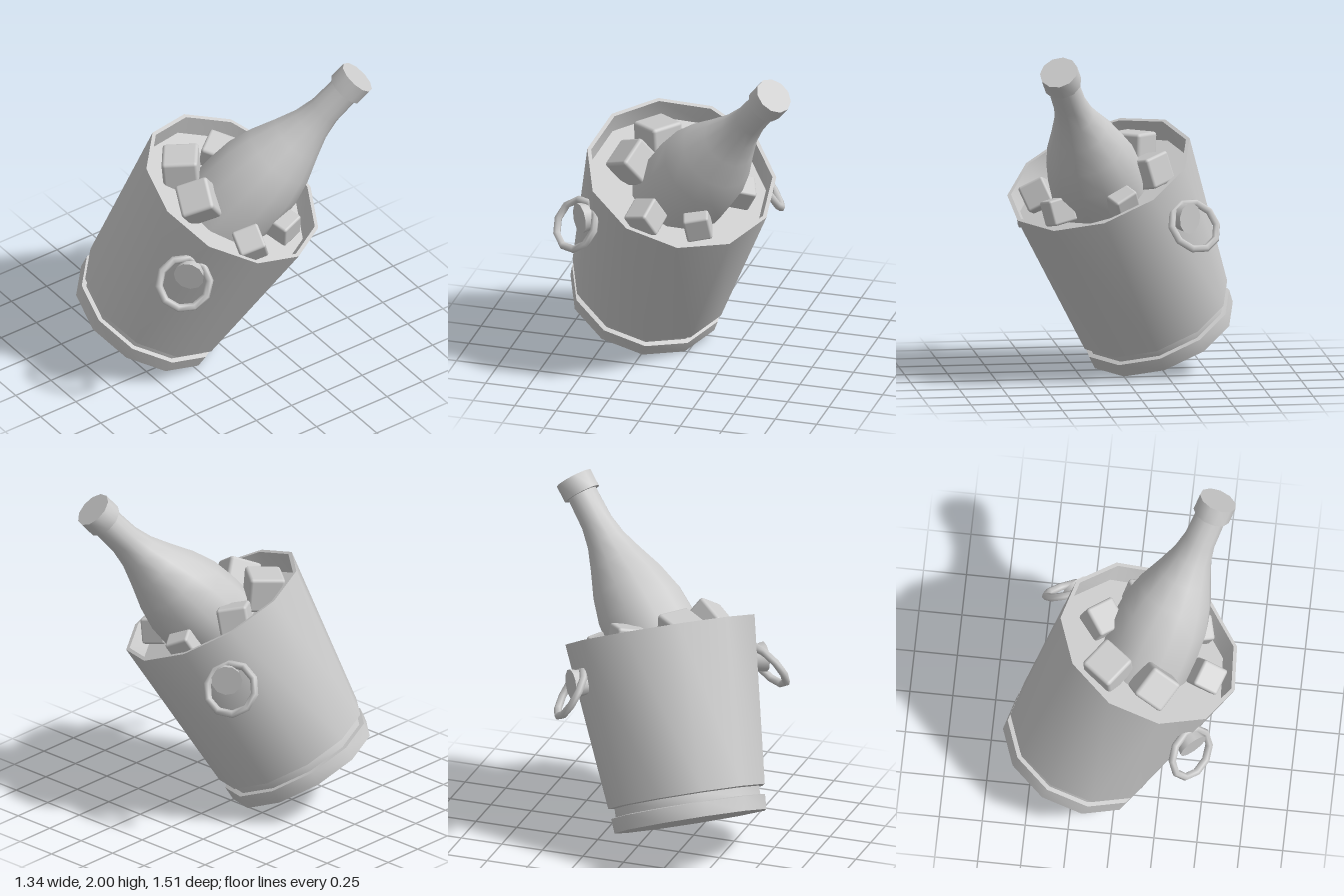
import * as THREE from 'three';
import { toCreasedNormals } from 'three/addons/utils/BufferGeometryUtils.js';
import { RoundedBoxGeometry } from 'three/addons/geometries/RoundedBoxGeometry.js';

const material = new THREE.MeshStandardMaterial({ color: 0xcccccc });

function add(parent, name, geometry) {
  const mesh = new THREE.Mesh(geometry, material);
  mesh.name = name;
  parent.add(mesh);
  return mesh;
}

// Turned shape: smooth around its sides, sharp at profile corners
function turned(profile, sides) {
  const points = profile.map(([r, y]) => new THREE.Vector2(r, y));
  return toCreasedNormals(new THREE.LatheGeometry(points, sides), 0.75);
}

// Stand a group on a point with its y along "up" and its z towards "front"
function orient(group, origin, up, front) {
  const y = up.clone().normalize();
  const x = new THREE.Vector3().crossVectors(y, front).normalize();
  const z = new THREE.Vector3().crossVectors(x, y);
  group.quaternion.setFromRotationMatrix(new THREE.Matrix4().makeBasis(x, y, z));
  group.position.copy(origin);
}

function createBucket() {
  const bucket = new THREE.Group();
  bucket.name = 'bucket';

  // Foot, groove, tapered wall, rim and the filled inside
  add(bucket, 'bucketBody', turned([
    [0, 0], [0.452, 0], [0.458, 0.085], [0.43, 0.09], [0.43, 0.14], [0.466, 0.145],
    [0.563, 1.124], [0.54, 1.124], [0.525, 1.0], [0, 1.0],
  ], 11));

  // A flared knob with a hanging ring on each side
  for (const [side, turn] of [['front', 0], ['back', Math.PI]]) {
    const handle = new THREE.Group();
    handle.name = side + 'Handle';
    handle.rotation.y = turn;

    const knob = add(handle, 'handleKnob',
      toCreasedNormals(new THREE.CylinderGeometry(0.09, 0.065, 0.11, 11), 0.75));
    knob.rotation.x = Math.PI / 2;
    knob.position.set(0, 0.885, 0.545);

    const ring = add(handle, 'handleRing', new THREE.TorusGeometry(0.148, 0.023, 6, 10));
    ring.rotation.x = -0.61;
    ring.position.set(0, 0.832, 0.61);
    bucket.add(handle);
  }

  orient(bucket, new THREE.Vector3(-0.255, 0.205, 0.33),
    new THREE.Vector3(0.405, 1, -0.335), new THREE.Vector3(0.655, -0.01, 0.755));
  return bucket;
}

function createBottle() {
  const bottle = new THREE.Group();
  bottle.name = 'bottle';

  // Heights are measured down from the top of the cap
  add(bottle, 'bottleGlass', turned([
    [0, -1.6], [0.25, -1.6], [0.272, -1.55], [0.276, -1.0], [0.265, -0.84], [0.225, -0.69],
    [0.165, -0.54], [0.118, -0.41], [0.095, -0.29], [0.09, -0.09],
  ], 12));
  add(bottle, 'bottleCap', turned([
    [0.088, -0.105], [0.112, -0.105], [0.112, 0], [0, 0],
  ], 11));

  orient(bottle, new THREE.Vector3(0.475, 1.925, -0.66),
    new THREE.Vector3(0.4, 1, -0.785), new THREE.Vector3(0, 0, 1));
  return bottle;
}

// Ice cubes: position, size, turn
const CUBES = [
  [[-0.075, 1.3, 0.2], 0.21, [0.1, -0.65, 0.05]],
  [[0.2, 1.26, 0.27], 0.2, [0.45, -0.55, -0.35]],
  [[0.49, 1.06, 0.11], 0.16, [0.3, -0.35, -0.4]],
  [[0.41, 1.02, -0.18], 0.15, [0.2, 0.25, -0.25]],
  [[0.06, 1.09, -0.33], 0.15, [-0.35, 0.5, -0.3]],
  [[-0.14, 1.23, -0.11], 0.18, [0.25, 0.6, -0.35]],
];

export function createModel() {
  const model = new THREE.Group();
  model.name = 'iceBucketWithBottle';
  model.add(createBucket(), createBottle());

  const ice = new THREE.Group();
  ice.name = 'ice';
  for (const [position, size, turn] of CUBES) {
    const cube = add(ice, 'iceCube', new RoundedBoxGeometry(size, size, size, 2, size * 0.1));
    cube.position.set(...position);
    cube.rotation.set(...turn);
  }
  model.add(ice);
  return model;
}
